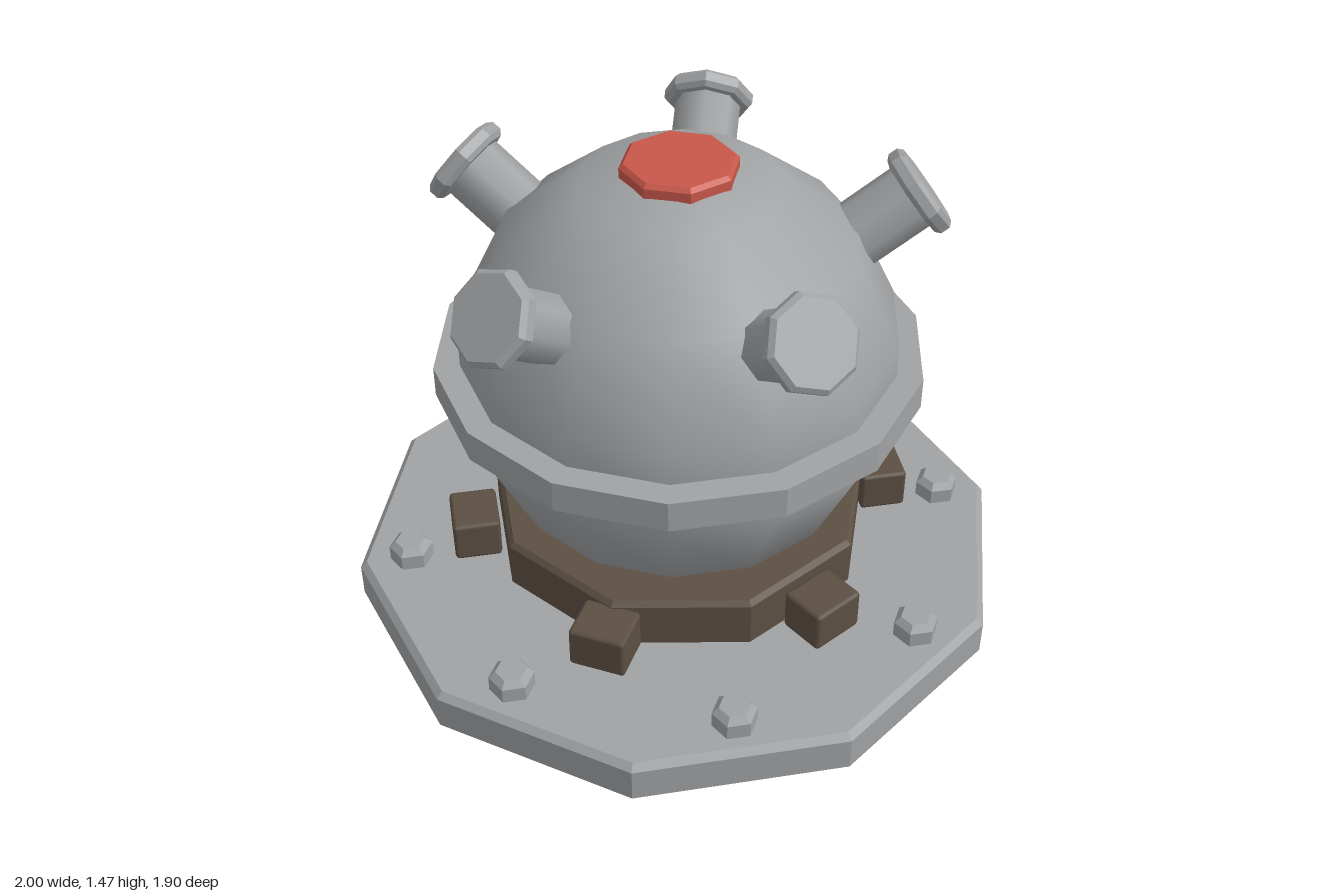
import * as THREE from 'three';
import { RoundedBoxGeometry } from 'three/addons/geometries/RoundedBoxGeometry.js';

const steel = new THREE.MeshStandardMaterial({ color: 0xa0a2a4 });
steel.name = 'steel grey';
const iron = new THREE.MeshStandardMaterial({ color: 0x5c4f43 });
iron.name = 'dark brown iron';
const red = new THREE.MeshStandardMaterial({ color: 0xc8574a });
red.name = 'warning red';

function add(parent, name, geometry, material, x = 0, y = 0, z = 0) {
  const mesh = new THREE.Mesh(geometry, material);
  mesh.name = name;
  mesh.position.set(x, y, z);
  parent.add(mesh);
  return mesh;
}

// Faceted prism standing on y = 0, a corner on +x, with bevelled rims
function prism(r, h, sides, topBevel = 0, bottomBevel = topBevel, bevelHeight = topBevel) {
  const pts = [[0, 0], [r - bottomBevel, 0]];
  if (bottomBevel) pts.push([r, bottomBevel]);
  if (topBevel) pts.push([r, h - bevelHeight]);
  pts.push([r - topBevel, h], [0, h]);
  const lathe = new THREE.LatheGeometry(pts.map(p => new THREE.Vector2(...p)), sides);
  const g = lathe.toNonIndexed();
  g.computeVertexNormals();
  return g.rotateY(Math.PI / 2);
}

export function createModel() {
  const model = new THREE.Group();
  model.name = 'navalMine';
  const centreY = 0.808;

  // Base plate with a circle of bolts
  add(model, 'basePlate', prism(1, 0.145, 10, 0.02), steel);
  const boltGeo = prism(0.066, 0.075, 6, 0.02, 0, 0.02);
  for (let i = 0; i < 8; i++) {
    const a = i * Math.PI / 4;
    add(model, 'bolt', boltGeo, steel, 0.84 * Math.cos(a), 0.138, 0.84 * Math.sin(a));
  }

  // Cradle ring, its foot and surrounding lugs
  add(model, 'cradleFoot', prism(0.33, 0.04, 9), iron, 0, 0.14, 0);
  add(model, 'cradleRing', prism(0.585, 0.17, 9, 0.015), iron, 0, 0.16, 0);
  const lugGeo = new RoundedBoxGeometry(0.143, 0.13, 0.17, 1, 0.012);
  for (let i = 0; i < 6; i++) {
    const a = i * Math.PI / 3;
    const lug = add(model, 'lug', lugGeo, iron, 0.637 * Math.cos(a), 0.247, 0.637 * Math.sin(a));
    lug.rotation.y = -a;
  }

  // Round body with belt and top cap
  add(model, 'body', new THREE.SphereGeometry(0.656, 14, 7), steel, 0, centreY, 0);
  add(model, 'belt', prism(0.716, 0.095, 14), steel, 0, 0.76, 0);
  add(model, 'topCap', prism(0.168, 0.06, 8, 0.012), red, 0, 1.407, 0);

  // Five horns pointing out and up from the body centre
  const shaftGeo = new THREE.CylinderGeometry(0.1, 0.1, 0.29, 8);
  shaftGeo.rotateY(Math.PI / 2);
  const headGeo = prism(0.136, 0.056, 8, 0.014);
  const elevation = THREE.MathUtils.degToRad(35);
  for (let i = 0; i < 5; i++) {
    const horn = new THREE.Group();
    horn.name = 'horn';
    horn.position.y = centreY;
    horn.rotation.set(0, i * Math.PI * 2 / 5, elevation - Math.PI / 2);
    add(horn, 'hornShaft', shaftGeo, steel, 0, 0.685, 0);
    add(horn, 'hornHead', headGeo, steel, 0, 0.812, 0);
    model.add(horn);
  }
  return model;
}
